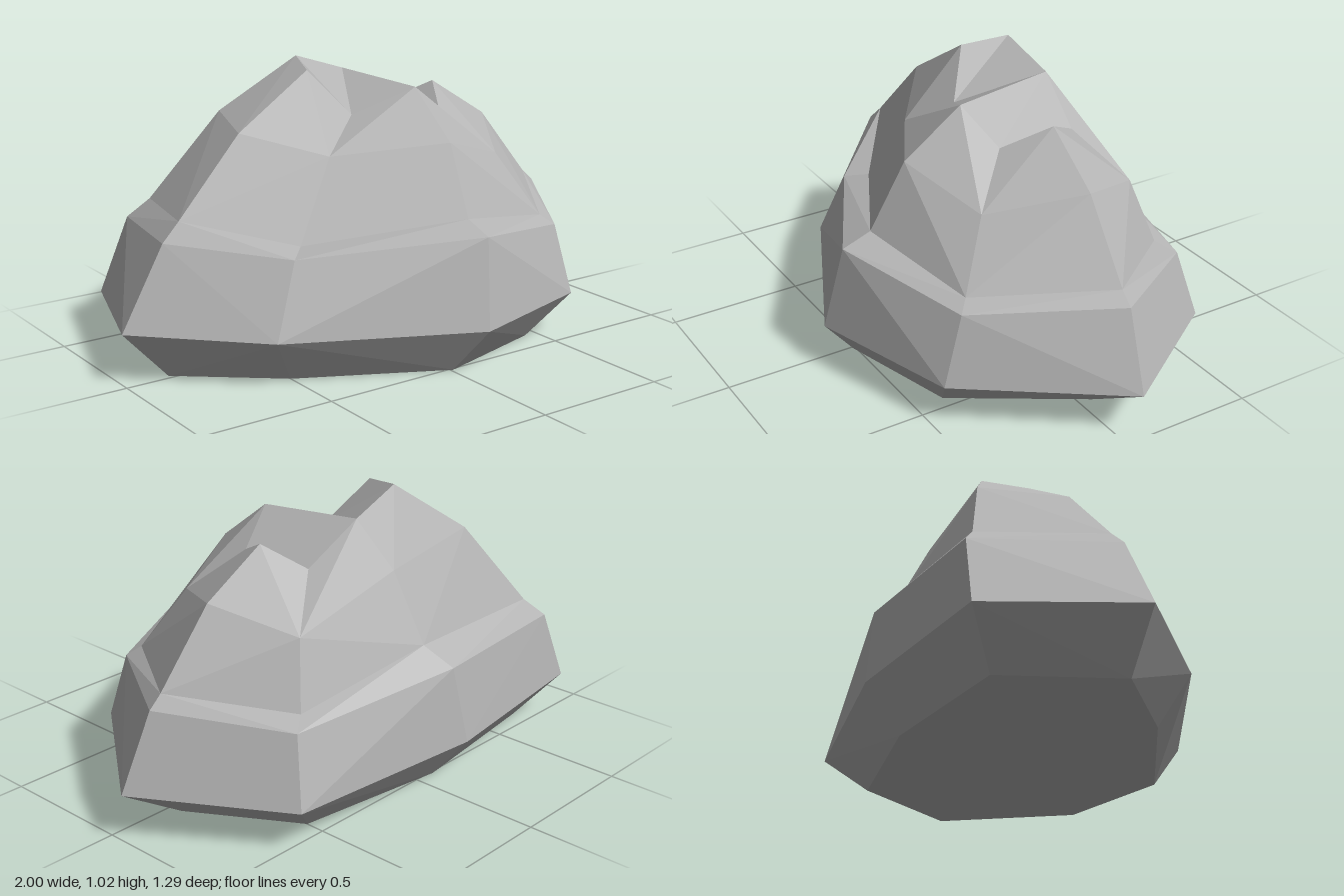
import * as THREE from 'three';

// Cross-section rings from the ground to the summit; each runs
// west, south-west, south, south-east, east, north-east, north, north-west
const rings = [
  [[-.83, 0, -.02], [-.5, 0, .25], [.01, 0, .51], [.45, 0, .39], [.73, 0, -.05], [.5, 0, -.43], [-.08, 0, -.51], [-.68, 0, -.43]],
  [[-1, .185, -.02], [-.6, .17, .33], [.06, .17, .645], [.6, .16, .47], [1, .17, -.06], [.66, .15, -.555], [-.1, .165, -.645], [-.82, .165, -.55]],
  [[-.83, .475, -.03], [-.49, .43, .27], [.1, .485, .58], [.58, .41, .39], [.88, .445, -.08], [.61, .4, -.49], [-.05, .455, -.61], [-.71, .44, -.53]],
  [[-.76, .54, -.04], [-.42, .45, .2], [.1, .525, .47], [.54, .445, .35], [.83, .49, -.08], [.54, .43, -.44], [0, .53, -.515], [-.64, .51, -.48]],
  [[-.5, .81, -.065], [-.25, .73, .13], [.12, .77, .34], [.43, .67, .22], [.62, .75, -.09], [.47, .66, -.37], [.02, .78, -.39], [-.4, .83, -.37]],
  [[-.2, 1, -.085], [-.08, .84, .02], [.13, .935, .12], [.29, .82, .06], [.38, .9, -.1], [.29, .82, -.24], [.08, .955, -.27], [-.14, 1.025, -.25]],
];

function buildFacets() {
  const positions = [];
  const tri = (a, b, c) => positions.push(...a, ...b, ...c);

  // Faceted sides
  for (let r = 0; r < rings.length - 1; r++) {
    for (let i = 0; i < 8; i++) {
      const j = (i + 1) % 8;
      const a = rings[r][i], b = rings[r][j], c = rings[r + 1][j], d = rings[r + 1][i];
      // Split each quad along the diagonal that bulges outward
      const [A, B, C, D] = [a, b, c, d].map((p) => new THREE.Vector3(...p));
      const normal = B.clone().sub(A).cross(C.clone().sub(A));
      if (normal.dot(D.sub(A)) <= 0) { tri(a, b, c); tri(a, c, d); }
      else { tri(a, b, d); tri(b, c, d); }
    }
  }

  // Flat base
  const base = rings[0];
  for (let i = 1; i < 7; i++) tri(base[0], base[i + 1], base[i]);

  // Notched summit with two peaks
  const top = rings[rings.length - 1];
  const cap = [[0, 1, 7], [7, 1, 6], [1, 2, 6], [2, 3, 6], [3, 5, 6], [3, 4, 5]];
  for (const [i, j, k] of cap) tri(top[i], top[j], top[k]);

  const geometry = new THREE.BufferGeometry();
  geometry.setAttribute('position', new THREE.Float32BufferAttribute(positions, 3));
  geometry.computeVertexNormals();
  return geometry;
}

export function createModel() {
  const group = new THREE.Group();
  group.name = 'boulder';
  const stone = new THREE.MeshStandardMaterial({ color: 0xb4b4b4 });
  stone.name = 'grey stone';
  stone.flatShading = true;
  const rock = new THREE.Mesh(buildFacets(), stone);
  rock.name = 'rock';
  group.add(rock);
  return group;
}
